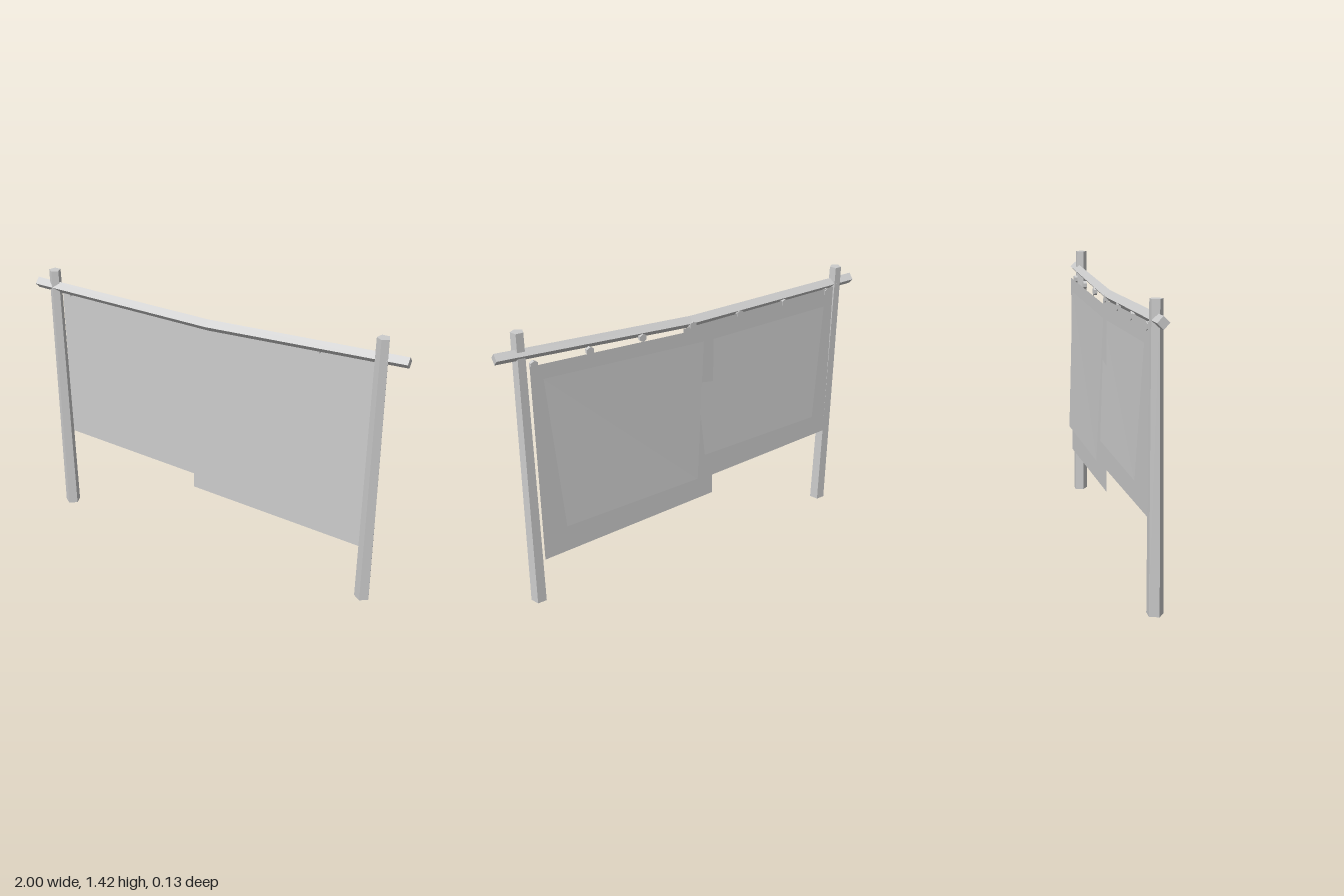
import * as THREE from 'three';

export function createModel() {
  const group = new THREE.Group();
  const grey = new THREE.MeshStandardMaterial({ color: 0xcccccc, flatShading: true, side: THREE.DoubleSide });
  grey.name = 'plain grey';

  function add(name, geometry) {
    const mesh = new THREE.Mesh(geometry, grey);
    mesh.name = name;
    group.add(mesh);
    return mesh;
  }

  function fromTriangles(points) {
    const g = new THREE.BufferGeometry().setFromPoints(points);
    g.computeVertexNormals();
    return g;
  }

  // Faceted bar through sections [x, y, z, radius], running up (y) or across (x)
  function bar(sections, sides, across) {
    const rings = sections.map(([x, y, z, r]) => Array.from({ length: sides }, (_, i) => {
      const a = (i / sides) * Math.PI * 2, s = r * Math.sin(a), c = r * Math.cos(a);
      return across ? new THREE.Vector3(x, y + c, z + s) : new THREE.Vector3(x + s, y, z + c);
    }));
    const tris = [];
    for (let k = 0; k < rings.length - 1; k++) {
      const lo = rings[k], hi = rings[k + 1];
      for (let i = 0; i < sides; i++) {
        const j = (i + 1) % sides;
        tris.push(lo[i], lo[j], hi[j], lo[i], hi[j], hi[i]);
      }
    }
    const first = rings[0], last = rings[rings.length - 1];
    for (let i = 1; i < sides - 1; i++) {
      tris.push(first[0], first[i + 1], first[i], last[0], last[i], last[i + 1]);
    }
    return fromTriangles(tris);
  }

  // Flat four-cornered cloth
  function cloth(corners) {
    const [a, b, c, d] = corners.map((p) => new THREE.Vector3(...p));
    return fromTriangles([a, b, c, a, c, d]);
  }

  // Leaning five-sided posts
  add('rightPost', bar([[-0.885, 0, 0.02, 0.04], [-0.895, 1.39, 0.007, 0.03]], 5, false));
  add('leftPost', bar([[0.887, 0, 0.02, 0.04], [0.878, 1.42, 0.032, 0.031]], 5, false));

  // Sagging square beam set on edge
  add('crossBeam', bar([[-1, 1.306, 0.011, 0.028], [0, 1.28, 0.011, 0.029], [1, 1.322, 0.019, 0.027]], 4, true));

  // Two overlapping hanging sheets
  add('frontSheet', cloth([[-0.87, 0.447, -0.014], [0.053, 0.392, -0.014], [0.053, 1.262, -0.014], [-0.87, 1.29, -0.014]]));
  add('rearSheet', cloth([[-0.11, 0.307, -0.03], [0.86, 0.253, -0.03], [0.86, 1.272, -0.03], [-0.11, 1.245, -0.03]]));

  // Smaller tapered flaps hanging loose behind the sheets
  add('frontSheetFlap', cloth([[-0.755, 0.575, -0.044], [-0.05, 0.56, -0.05], [0.0, 1.17, -0.02], [-0.81, 1.195, -0.02]]));
  add('rearSheetFlap', cloth([[0.0, 0.44, -0.06], [0.75, 0.425, -0.067], [0.8, 1.2, -0.034], [-0.05, 1.18, -0.034]]));

  // Row of small six-sided pegs under the beam
  for (let i = -3; i <= 3; i++) {
    const peg = add('peg', new THREE.CylinderGeometry(0.02, 0.02, 0.018, 6));
    peg.rotation.x = Math.PI / 2;
    peg.position.set(i * 0.277, 1.268, -0.009);
  }

  return group;
}
